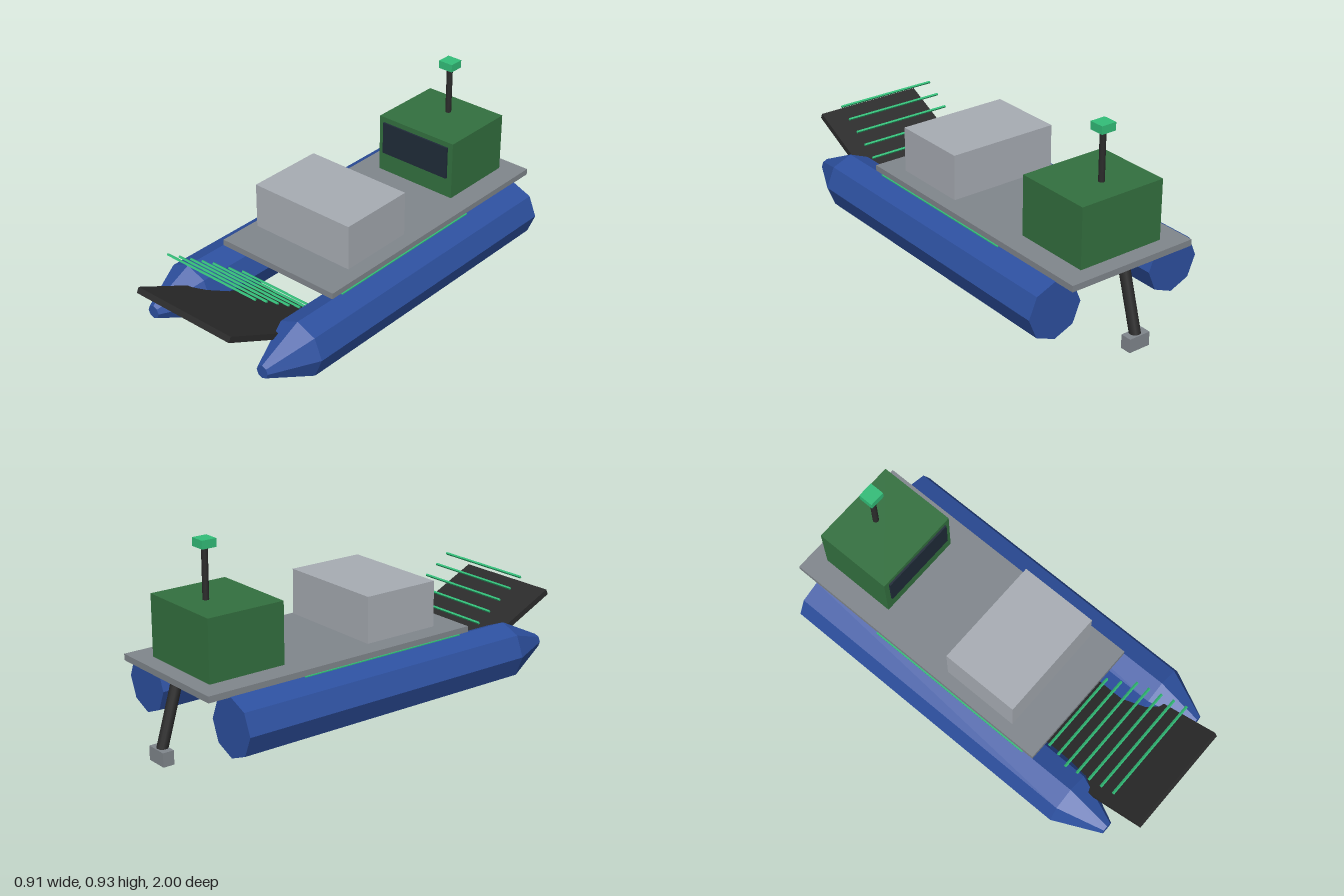
import * as THREE from 'three';

export function createModel() {
  const boat = new THREE.Group();
  boat.name = 'catamaranBoat';

  const paint = (name, color, flatShading = false) => {
    const m = new THREE.MeshStandardMaterial({ color, flatShading });
    m.name = name;
    return m;
  };
  const blue = paint('hullBlue', 0x2d509f, true);
  const grey = paint('deckGrey', 0x80868c);
  const paleGrey = paint('cargoGrey', 0xa7acb3);
  const green = paint('cabinGreen', 0x33703f);
  const glass = paint('windowNavy', 0x1f2b38);
  const black = paint('fittingBlack', 0x2b2b2b);
  const mint = paint('trimMint', 0x32bd78);

  const add = (name, geometry, material, x, y, z, rx = 0) => {
    const mesh = new THREE.Mesh(geometry, material);
    mesh.name = name;
    mesh.position.set(x, y, z);
    mesh.rotation.x = rx;
    boat.add(mesh);
    return mesh;
  };
  const box = (name, mat, w, h, d, x, y, z, rx) =>
    add(name, new THREE.BoxGeometry(w, h, d), mat, x, y, z, rx);

  // Octagonal pontoons with tapered noses, and trim rails under the deck edges
  for (const [side, s] of [['left', 1], ['right', -1]]) {
    add(side + 'Pontoon', new THREE.CylinderGeometry(0.133, 0.133, 1.5, 8),
      blue, s * 0.32, 0.222, -0.09, Math.PI / 2);
    add(side + 'PontoonNose', new THREE.CylinderGeometry(0.031, 0.133, 0.213, 8),
      blue, s * 0.32, 0.222, 0.7665, Math.PI / 2);
    box(side + 'TrimRail', mint, 0.014, 0.016, 0.86, s * 0.32, 0.348, -0.04);
  }

  // Deck, cargo box and cabin
  box('deck', grey, 0.64, 0.029, 1.388, 0, 0.3675, -0.251);
  box('cargoBox', paleGrey, 0.534, 0.211, 0.374, 0, 0.506, 0.096);
  box('cabin', green, 0.427, 0.28, 0.374, 0, 0.522, -0.681);
  box('cabinWindow', glass, 0.374, 0.158, 0.009, 0, 0.558, -0.4885);

  // Mast with a signal lamp
  add('mast', new THREE.CylinderGeometry(0.014, 0.014, 0.23, 12), black, 0, 0.776, -0.734);
  box('mastLamp', mint, 0.074, 0.037, 0.07, 0, 0.907, -0.734);

  // Sloping bow ramp
  box('bowRamp', black, 0.534, 0.027, 0.8, 0, 0.248, 0.634, -0.449);

  // Row of thin slats climbing toward the bow
  for (let i = 0; i < 7; i++) {
    box('slat' + (i + 1), mint, 0.507, 0.009, 0.009, 0, 0.266 + i * 0.0426, 0.446 + i * 0.0638, -0.59);
  }

  // Stern drive: slanted shaft and foot
  add('driveShaft', new THREE.CylinderGeometry(0.025, 0.025, 0.28, 12),
    black, 0, 0.193, -0.931, 0.287);
  box('driveFoot', grey, 0.106, 0.064, 0.053, 0, 0.032, -0.9735);

  return boat;
}
